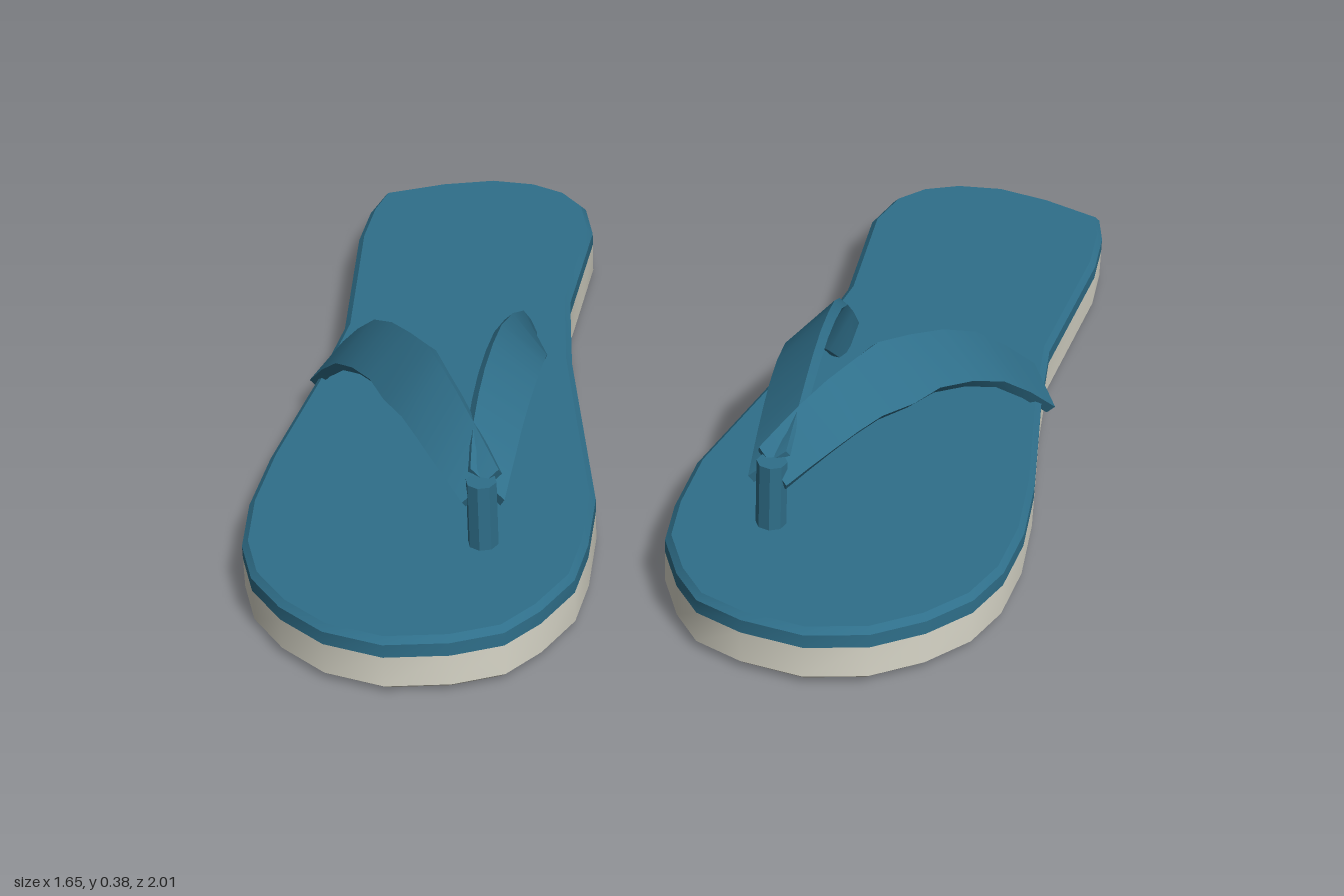
import * as THREE from 'three';
import { toCreasedNormals } from 'three/addons/utils/BufferGeometryUtils.js';

const blue = new THREE.MeshStandardMaterial({ color: 0x2f6f8a });
const beige = new THREE.MeshStandardMaterial({ color: 0xd8d6c8 });

// Sole outline [x, z], from the outer heel round the inner side to the toe and back
const OUTLINE = [
  [0.82, -0.71], [0.7, -0.78], [0.59, -0.82], [0.49, -0.82], [0.41, -0.79], [0.35, -0.73],
  [0.31, -0.62], [0.3, -0.46], [0.29, -0.3], [0.23, -0.05], [0.15, 0.2], [0.07, 0.45],
  [0.05, 0.61], [0.05, 0.73], [0.09, 0.84], [0.14, 0.92], [0.23, 0.97], [0.35, 1.0],
  [0.47, 0.98], [0.57, 0.92], [0.65, 0.84], [0.7, 0.74], [0.73, 0.6], [0.74, 0.43],
  [0.735, 0.1], [0.74, -0.1], [0.82, -0.49], [0.83, -0.62],
];

// Strap stations: centre x, y, z, then the width vector across the ribbon
const OUTER_STRAP = [
  [0.73, 0.105, 0.045, 0.05, -0.05, 0.085],
  [0.62, 0.245, 0.185, 0.065, -0.07, 0.07],
  [0.5, 0.315, 0.34, 0.07, -0.08, 0.06],
  [0.4, 0.32, 0.47, 0.07, -0.08, 0.06],
  [0.32, 0.29, 0.57, 0.065, -0.07, 0.055],
  [0.245, 0.24, 0.65, 0.06, -0.05, 0.05],
];
const INNER_STRAP = [
  [0.315, 0.125, -0.05, -0.02, -0.05, 0.08],
  [0.285, 0.245, 0.08, -0.06, -0.07, 0.05],
  [0.268, 0.315, 0.25, -0.085, -0.075, 0.01],
  [0.258, 0.318, 0.42, -0.085, -0.075, 0],
  [0.25, 0.285, 0.55, -0.08, -0.07, 0],
  [0.24, 0.24, 0.645, -0.07, -0.05, 0.02],
];

// Closed solid through rings that run counter-clockwise about the direction of travel
function loft(rings, side) {
  if (side < 0) {
    rings = rings.map((r) => r.map((p) => new THREE.Vector3(-p.x, p.y, p.z)).reverse());
  }
  const n = rings[0].length;
  const last = rings.length - 1;
  const middle = (r) => r.reduce((m, p) => m.addScaledVector(p, 1 / n), new THREE.Vector3());
  const points = [...rings.flat(), middle(rings[0]), middle(rings[last])];
  const index = [];
  for (let j = 0; j < n; j++) {
    const k = (j + 1) % n;
    for (let i = 0; i < last; i++) {
      const a = i * n, b = a + n;
      index.push(a + j, a + k, b + k, a + j, b + k, b + j);
    }
    index.push(points.length - 2, k, j, points.length - 1, last * n + j, last * n + k);
  }
  const geometry = new THREE.BufferGeometry().setFromPoints(points);
  geometry.setIndex(index);
  return toCreasedNormals(geometry, 0.6);
}

// Outline at height y, drawn in by the inset
function soleRing(y, inset) {
  const n = OUTLINE.length;
  return OUTLINE.map(([x, z], i) => {
    const [px, pz] = OUTLINE[(i + n - 1) % n];
    const [qx, qz] = OUTLINE[(i + 1) % n];
    const length = Math.hypot(qx - px, qz - pz);
    return new THREE.Vector3(x + (inset * (qz - pz)) / length, y, z - (inset * (qx - px)) / length);
  });
}

// Flat, twisting ribbon swept along the stations
function strapRings(stations, thickness = 0.022, segments = 10) {
  const path = new THREE.CatmullRomCurve3(stations.map((s) => new THREE.Vector3(s[0], s[1], s[2])));
  const widths = new THREE.CatmullRomCurve3(stations.map((s) => new THREE.Vector3(s[3], s[4], s[5])));
  return Array.from({ length: segments + 1 }, (_, i) => {
    const centre = path.getPoint(i / segments);
    const tangent = path.getTangent(i / segments);
    const w = widths.getPoint(i / segments).multiplyScalar(0.5);
    const normal = tangent.clone().cross(w).setLength(thickness / 2);
    return [[1, 1], [-1, 1], [-1, -1], [1, -1]].map(([a, b]) =>
      centre.clone().addScaledVector(w, a).addScaledVector(normal, b));
  });
}

function createSandal(side) {
  const sandal = new THREE.Group();
  const add = (name, geometry, material) => {
    const mesh = new THREE.Mesh(geometry, material);
    mesh.name = name;
    sandal.add(mesh);
    return mesh;
  };
  // Two-layer sole with softened lower and upper rims
  add('sole', loft([soleRing(0, 0.018), soleRing(0.015, 0), soleRing(0.08, 0)], side), beige);
  add('footbed', loft([soleRing(0.08, 0), soleRing(0.108, 0), soleRing(0.12, 0.012)], side), blue);
  // Straps meeting at the toe post
  add('outerStrap', loft(strapRings(OUTER_STRAP), side), blue);
  add('innerStrap', loft(strapRings(INNER_STRAP), side), blue);
  const post = new THREE.CylinderGeometry(0.03, 0.03, 0.16, 8);
  add('toePost', toCreasedNormals(post, 0.6), blue).position.set(0.245 * side, 0.18, 0.655);
  return sandal;
}

export function createModel() {
  const model = new THREE.Group();
  model.name = 'sandals';
  const right = createSandal(-1);
  right.name = 'rightSandal';
  // The left sandal sits further back and slightly turned
  const left = createSandal(1);
  left.name = 'leftSandal';
  left.position.set(0.015, 0, -0.165);
  left.rotation.y = 0.035;
  model.add(right, left);
  return model;
}
